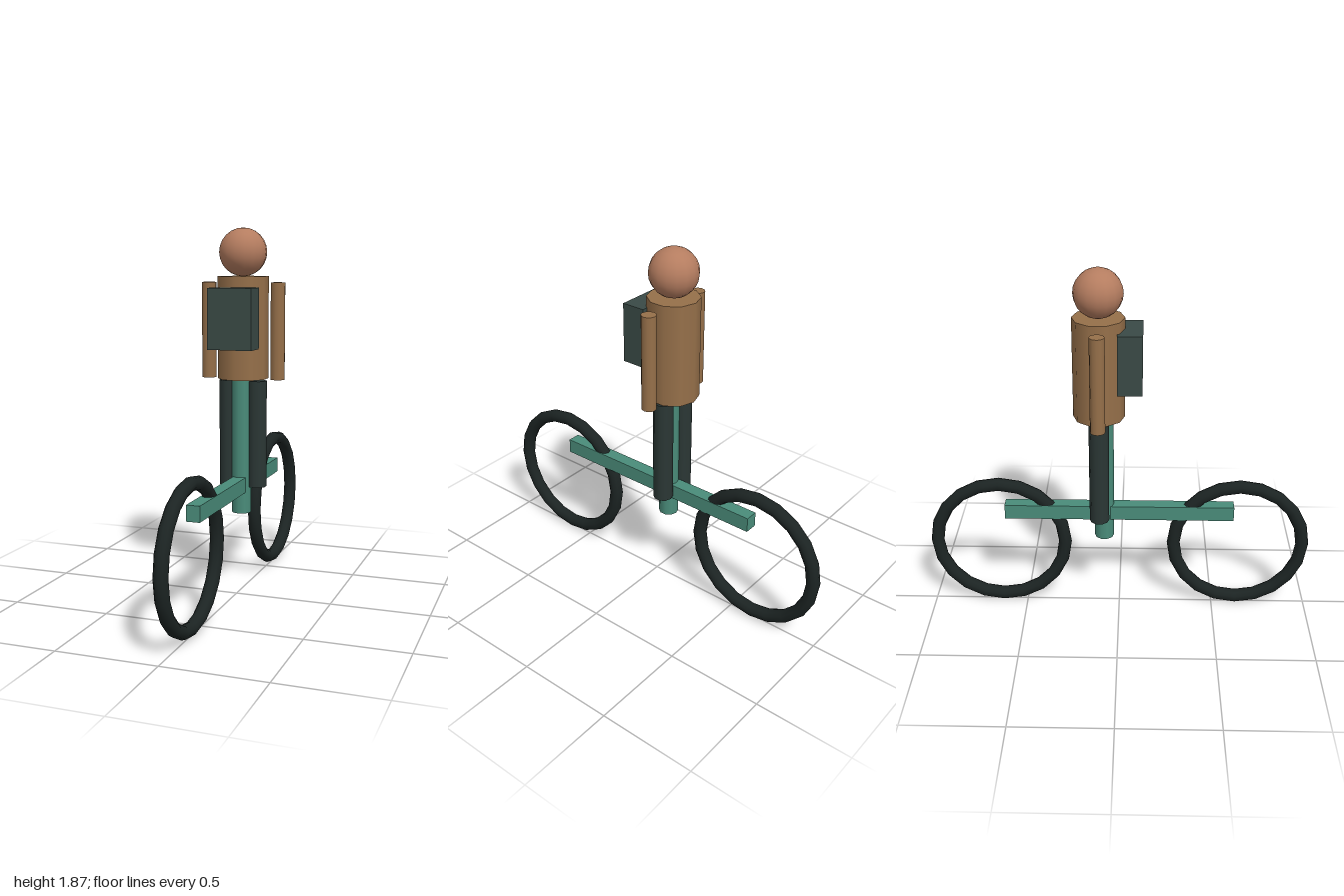
import * as THREE from 'three';

const mat = (color) => new THREE.MeshStandardMaterial({ color });

export function createModel() {
  const model = new THREE.Group();
  const frameMat = mat(0x4a8c7a), tyreMat = mat(0x1c2423), trouserMat = mat(0x2b3735);
  const coatMat = mat(0x96704a), skinMat = mat(0xb57d60), packMat = mat(0x3a4a46);
  const riderZ = -0.1;

  const add = (name, geometry, material, x, y, z) => {
    const mesh = new THREE.Mesh(geometry, material);
    mesh.name = name;
    mesh.position.set(x, y, z);
    model.add(mesh);
    return mesh;
  };
  // Upright cylinder given by its bottom and top heights
  const post = (name, radius, bottom, top, sides, material, x, z) =>
    add(name, new THREE.CylinderGeometry(radius, radius, top - bottom, sides),
      material, x, (bottom + top) / 2, z);

  // Wheels, one at each end of the frame
  for (const [name, side] of [['frontWheel', 1], ['rearWheel', -1]]) {
    const wheel = add(name, new THREE.TorusGeometry(0.34, 0.034, 10, 20), tyreMat, 0, 0.376, side * 0.626);
    wheel.rotation.y = Math.PI / 2;
  }

  // Frame bar and seat post
  add('frameBar', new THREE.BoxGeometry(0.068, 0.078, 1.19), frameMat, 0, 0.57, 0);
  post('seatPost', 0.05, 0.42, 1.13, 10, frameMat, 0, -0.078);

  // Rider
  post('torso', 0.129, 1.115, 1.632, 10, coatMat, 0, riderZ);
  add('head', new THREE.SphereGeometry(0.121, 16, 12), skinMat, 0, 1.752, riderZ);
  for (const [side, s] of [['left', 1], ['right', -1]]) {
    post(side + 'Arm', 0.037, 1.115, 1.602, 12, coatMat, s * 0.184, riderZ);
    post(side + 'Leg', 0.05, 0.556, 1.105, 10, trouserMat, s * 0.075, riderZ);
  }

  // Pack worn against the torso
  add('pack', new THREE.BoxGeometry(0.228, 0.303, 0.122), packMat, 0, 1.426, 0.053);

  return model;
}
